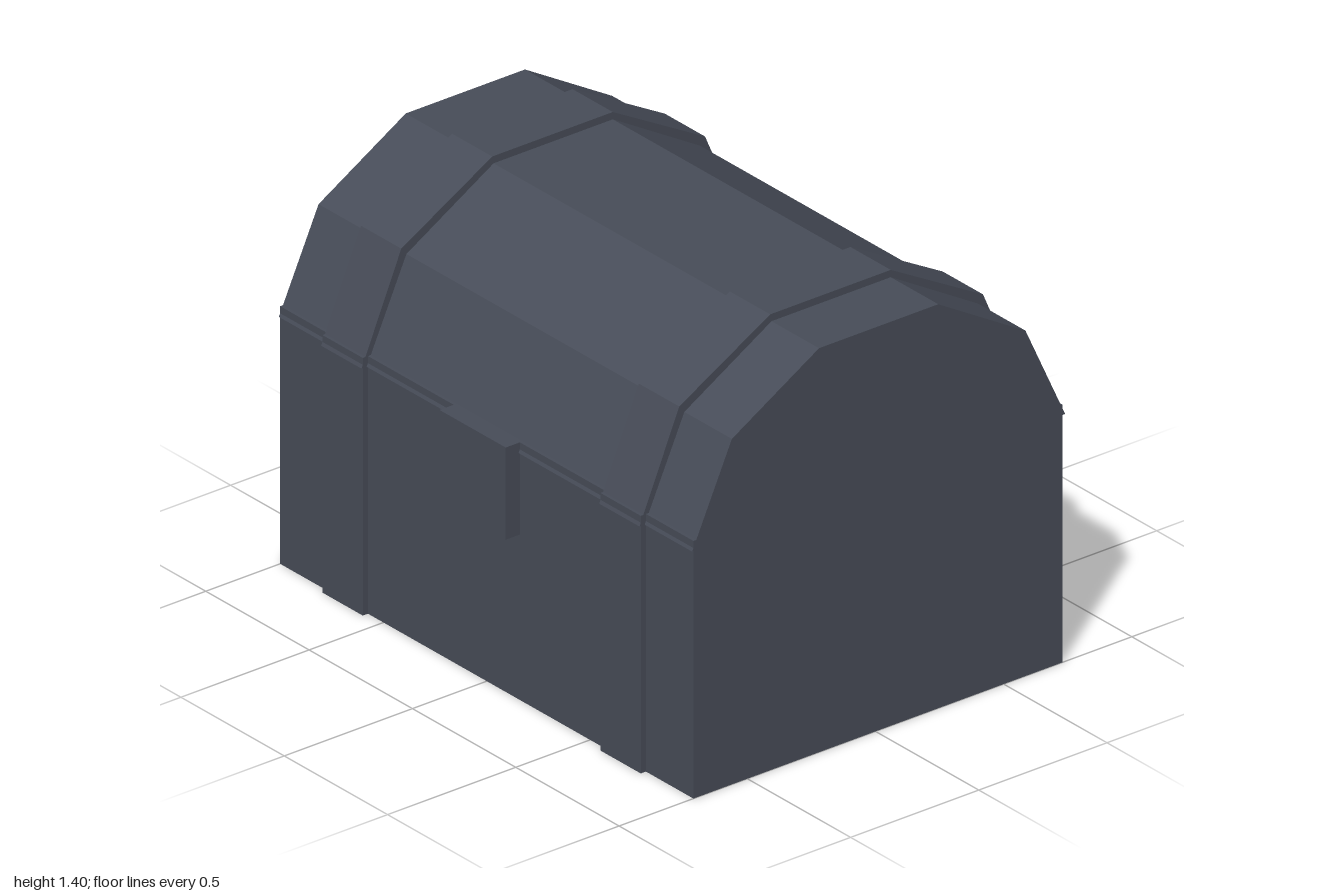
import * as THREE from 'three';

const material = new THREE.MeshStandardMaterial({ color: 0x474c58, flatShading: true });

// Half-hexagon style lid outlines as [z, y], front to back
const LID = [[0.715, 0.845], [0.56, 1.18], [0.22, 1.38], [-0.245, 1.38], [-0.585, 1.18], [-0.74, 0.845]];
const BAND = [[0.735, 0.845], [0.58, 1.205], [0.225, 1.405], [-0.245, 1.405], [-0.605, 1.205], [-0.76, 0.845]];

function addMesh(parent, name, geometry) {
  const mesh = new THREE.Mesh(geometry, material);
  mesh.name = name;
  parent.add(mesh);
  return mesh;
}

// Box given by its limits on each axis
function addBox(parent, name, [x0, x1], [y0, y1], [z0, z1]) {
  const mesh = addMesh(parent, name, new THREE.BoxGeometry(x1 - x0, y1 - y0, z1 - z0));
  mesh.position.set((x0 + x1) / 2, (y0 + y1) / 2, (z0 + z1) / 2);
}

// Extrude a [z, y] outline along x, from x0 to x1
function extrudeX(outline, x0, x1) {
  const shape = new THREE.Shape(outline.map(([z, y]) => new THREE.Vector2(-z, y)));
  const geometry = new THREE.ExtrudeGeometry(shape, { depth: x1 - x0, bevelEnabled: false });
  return geometry.rotateY(Math.PI / 2).translate(x0, 0, 0);
}

export function createModel() {
  const chest = new THREE.Group();
  chest.name = 'chest';

  // Main box and faceted barrel lid
  addBox(chest, 'body', [-1, 1], [0, 0.88], [-0.73, 0.71]);
  addMesh(chest, 'lid', extrudeX(LID, -1, 1));

  // Raised bands around the body and over the lid, one per side
  for (const [side, x0, x1] of [['left', 0.575, 0.77], ['right', -0.77, -0.575]]) {
    const strap = new THREE.Group();
    strap.name = side + 'Strap';
    addBox(strap, side + 'FrontBand', [x0, x1], [0, 0.88], [0.71, 0.73]);
    addBox(strap, side + 'BackBand', [x0, x1], [0, 0.88], [-0.75, -0.73]);
    addMesh(strap, side + 'LidBand', extrudeX([...BAND, ...[...LID].reverse()], x0, x1));
    chest.add(strap);
  }

  // Lock plate on the front
  addBox(chest, 'lockPlate', [-0.16, 0.16], [0.565, 0.88], [0.7, 0.765]);
  return chest;
}
